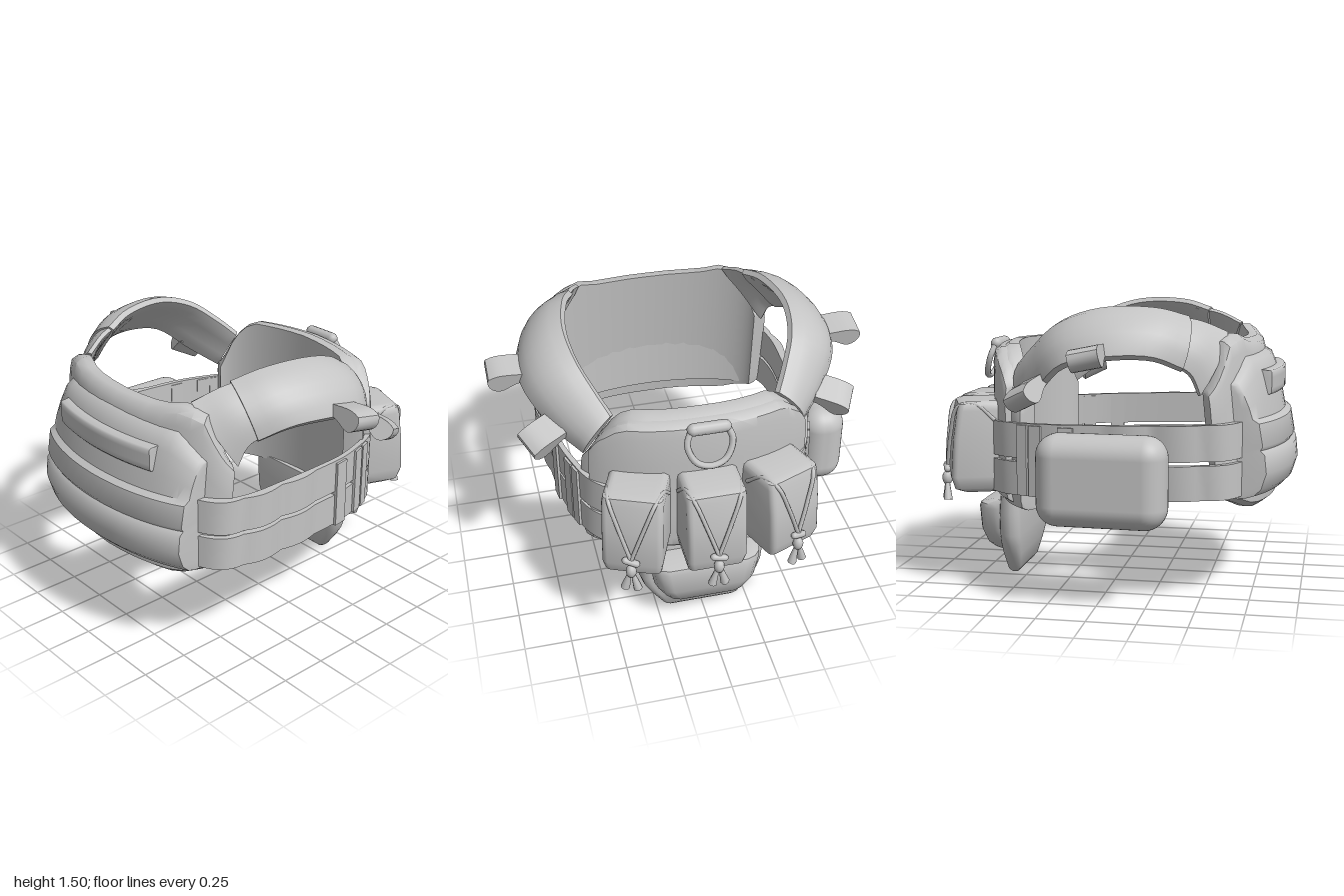
import * as THREE from 'three';
import { toCreasedNormals } from 'three/addons/utils/BufferGeometryUtils.js';
import { RoundedBoxGeometry } from 'three/addons/geometries/RoundedBoxGeometry.js';

const V = (x, y, z) => new THREE.Vector3(x, y, z);
const lerp = THREE.MathUtils.lerp;
// piecewise linear lookup in [[x, value], ...]
function ramp(table, x) {
  for (let i = 1; i < table.length; i++) {
    const [x0, a] = table[i - 1], [x1, b] = table[i];
    if (x <= x1) return lerp(a, b, Math.max(0, (x - x0) / (x1 - x0)));
  }
  return table[table.length - 1][1];
}

// closed solid through rings of points, ends capped by strips, faces turned outward
function loft(rings, crease = 0.75) {
  const n = rings[0].length, pos = rings.flat(), tris = [];
  const quad = (a, b, c, d) => tris.push([a, b, c], [a, c, d]);
  for (let r = 0; r < rings.length - 1; r++)
    for (let i = 0; i < n; i++) {
      const j = (i + 1) % n;
      quad(r * n + i, r * n + j, (r + 1) * n + j, (r + 1) * n + i);
    }
  const end = (rings.length - 1) * n;
  for (let i = 0; i < n / 2 - 1; i++) {
    quad(i, n - 1 - i, n - 2 - i, i + 1);
    quad(end + i, end + i + 1, end + n - 2 - i, end + n - 1 - i);
  }
  let vol = 0;
  for (const [a, b, c] of tris) vol += pos[a].dot(pos[b].clone().cross(pos[c]));
  const g = new THREE.BufferGeometry().setFromPoints(pos);
  g.setIndex(tris.flatMap(([a, b, c]) => (vol < 0 ? [a, c, b] : [a, b, c])));
  return toCreasedNormals(g, crease);
}

// panel bent along an ellipse; rows(x) gives [y, inner offset, outer offset] from the bottom up
function bentPanel({ rx, rz, zc, side, max, turn = 1, lean = 0, cols = 24 }, rows) {
  const rings = [];
  for (let c = 0; c <= cols; c++) {
    const u = Math.sin((c / cols - 0.5) * Math.PI), a = u * max;
    const x = rx * Math.sin(a), z = rz * Math.cos(a);
    const nrm = V(rz * Math.sin(a) * turn, 0, rx * Math.cos(a)).normalize();
    const soft = Math.abs(u) > 0.999 ? 0.25 : 0;
    const list = rows(x);
    const put = (y, o) => V(x + nrm.x * o, y, side * (zc + z + nrm.z * o + (1.33 - y) * lean));
    rings.push([...list.map(([y, i, o]) => put(y, lerp(o, i, soft))), ...list.map(([y, i]) => put(y, i)).reverse()]);
  }
  return loft(rings);
}
// panel profile between two heights, outer side rounded at both edges
const slab = (y0, y1, inner, outer) => [[0, 0.3], [0.03, 0.85], [0.1, 1], [0.3, 1], [0.5, 1], [0.7, 1], [0.9, 1], [0.97, 0.85], [1, 0.3]]
  .map(([t, k]) => [lerp(y0, y1, t), inner, inner + (outer - inner) * (0.3 + 0.7 * k)]);

// rounded rectangle ring at height y
function ring(y, w, d, zc, r, bend = 0) {
  const pts = [];
  for (const [sx, sz, a0] of [[1, 1, 0], [-1, 1, 1], [-1, -1, 2], [1, -1, 3]])
    for (let i = 0; i < 4; i++) {
      const a = (a0 + i / 3) * Math.PI / 2;
      const x = sx * (w - r) + Math.cos(a) * r;
      pts.push(V(x, y, zc + sz * (d - r) + Math.sin(a) * r + bend * x * x));
    }
  return pts;
}

// crowned band swept through pairs of neck-side and arm-side edge points
function band(stations, s, th, steps) {
  const A = new THREE.CatmullRomCurve3(stations.map(p => V(...p[0])));
  const B = new THREE.CatmullRomCurve3(stations.map(p => V(...p[1])));
  const rings = [], m = 7;
  for (let k = 0; k <= steps; k++) {
    const t = k / steps, a = A.getPoint(t), b = B.getPoint(t), d = b.clone().sub(a);
    const n = d.clone().cross(A.getTangent(t).add(B.getTangent(t))).normalize();
    const row = sg => Array.from({ length: m }, (_, i) => {
      const w = i / (m - 1), h = Math.max(0, Math.sin(Math.PI * w));
      const p = a.clone().addScaledVector(d, w).addScaledVector(n, 0.025 * h + sg * th * (0.35 + 0.65 * Math.sqrt(h)));
      return V(p.x * s, p.y, p.z);
    });
    rings.push([...row(1), ...row(-1).reverse()]);
  }
  return loft(rings);
}

export function createModel() {
  const model = new THREE.Group();
  const grey = new THREE.MeshStandardMaterial({ color: 0xc4c4c4 });
  grey.name = 'grey fabric';
  const add = (name, geo, parent = model) => {
    const m = new THREE.Mesh(geo, grey);
    m.name = name;
    parent.add(m);
    return m;
  };
  const tube = (pts, r, n = 20) => new THREE.TubeGeometry(new THREE.CatmullRomCurve3(pts.map(p => V(...p))), n, r, 8);

  // front vest panel, rising at the sides into the straps
  add('frontPanel', bentPanel({ rx: 0.64, rz: 0.27, zc: 0.45, side: 1, max: 1.38, lean: 0.1 }, x => slab(
    ramp([[0, 0.47], [0.45, 0.48], [0.63, 0.56]], Math.abs(x)),
    ramp([[0, 1.33], [0.3, 1.335], [0.43, 1.37], [0.53, 1.33], [0.63, 1.08]], Math.abs(x)), -0.04, 0.05)));

  // front plate bag with its stepped pouch rows
  const bag = { rx: 0.75, rz: 0.36, zc: 0.47, side: 1, turn: 0, max: 0.885 };
  const bagRows = [[0.553, 0.03], [0.565, 0.07], [0.6, 0.105], [0.68, 0.13], [0.775, 0.12], [0.795, 0.098], [0.815, 0.11], [0.93, 0.09],
    [0.95, 0.058], [1.05, 0.04], [1.17, 0.01], [1.24, -0.02], [1.27, -0.07]];
  add('frontPlateBag', bentPanel(bag, x => {
    const top = ramp([[0, 1.27], [0.45, 1.26], [0.58, 1.13]], Math.abs(x));
    return bagRows.map(([y, o]) => [y < 0.95 ? y : lerp(0.95, top, (y - 0.95) / 0.32), -0.1, o]);
  }));
  add('frontLabel', bentPanel({ ...bag, max: 0.53 }, () => slab(1.05, 1.18, -0.02, 0.055)));

  // back vest panel and back plate bag
  const back = { rx: 0.6, rz: 0.3, zc: 0.33, side: -1 };
  const backTop = x => ramp([[0, 1.3], [0.4, 1.29], [0.5, 1.19], [0.6, 0.95]], Math.abs(x));
  add('backPanel', bentPanel({ ...back, max: 1.3 }, x => slab(0.44, backTop(x), -0.08, 0.025)));
  add('backPlateBag', bentPanel({ ...back, max: 1.1 }, x => slab(0.48, backTop(x) - 0.015, -0.02, 0.058)));

  // drag handle
  const bar = add('handleGrip', new THREE.CapsuleGeometry(0.032, 0.16, 4, 10));
  bar.rotation.z = Math.PI / 2;
  bar.position.set(0, 1.27, -0.7);
  add('handleRing', tube([[-0.09, 1.27, -0.7], [-0.115, 1.2, -0.725], [-0.075, 1.11, -0.755], [0, 1.085, -0.765],
    [0.075, 1.11, -0.755], [0.115, 1.2, -0.725], [0.09, 1.27, -0.7]], 0.017, 28));

  // shoulder straps: neck edge and arm edge
  const yoke = [[[0.42, 1.37, 0.61], [0.635, 1.07, 0.5]], [[0.475, 1.425, 0.48], [0.665, 1.18, 0.45]],
    [[0.52, 1.45, 0.34], [0.73, 1.24, 0.34]]];
  const pad = [[[0.485, 1.445, 0.42], [0.69, 1.2, 0.42]], [[0.54, 1.485, 0.27], [0.775, 1.26, 0.28]],
    [[0.585, 1.485, 0], [0.835, 1.26, 0.04]], [[0.56, 1.42, -0.2], [0.815, 1.22, -0.15]],
    [[0.49, 1.31, -0.34], [0.7, 1.09, -0.3]], [[0.43, 1.22, -0.43], [0.575, 1.0, -0.41]]];

  // side belts, wrapping onto the back panel
  const path = new THREE.CatmullRomCurve3([[0.55, 0.71], [0.665, 0.6], [0.7, 0.47], [0.7, 0.25], [0.69, 0], [0.67, -0.2],
    [0.625, -0.36], [0.6, -0.43], [0.563, -0.505], [0.51, -0.565], [0.44, -0.625]].map(([x, z]) => V(x, 0, z)));
  const beltAt = (t, o) => {
    const p = path.getPointAt(t), d = path.getTangentAt(t);
    return V(p.x - d.z * o, 0, p.z + d.x * o);
  };
  const belt = (s, y0, h) => {
    const rings = [];
    for (let k = 0; k <= 48; k++) {
      const t = k / 48, wave = t < 0.5 ? 0.018 * Math.abs(Math.sin(t * 6 * Math.PI)) : 0;
      const y = y0 - 0.04 * t;
      rings.push([[y, 0.014 + wave], [y + h, 0.014 + wave], [y + h, -0.014], [y, -0.014]].map(([yy, o]) => {
        const p = beltAt(t, o);
        return V(p.x * s, yy, p.z);
      }));
    }
    return loft(rings);
  };

  // folded webbing tab outline
  const tabShape = new THREE.Shape();
  tabShape.moveTo(-0.03, -0.022);
  tabShape.bezierCurveTo(0.06, -0.02, 0.07, -0.06, 0.12, -0.06);
  tabShape.bezierCurveTo(0.16, -0.055, 0.19, 0, 0.165, 0.035);
  tabShape.bezierCurveTo(0.11, 0.06, 0.07, 0.045, -0.03, 0.03);
  const tabGeo = toCreasedNormals(new THREE.ExtrudeGeometry(tabShape, { depth: 0.15, bevelEnabled: false, curveSegments: 6 })
    .translate(0, 0, -0.075), 0.6);

  for (const s of [1, -1]) {
    const side = s > 0 ? 'left' : 'right';
    add(side + 'Strap', band(yoke, s, 0.032, 12));
    add(side + 'ShoulderPad', band(pad, s, 0.045, 22));
    add(side + 'UpperBelt', belt(s, 0.76, 0.18));
    add(side + 'LowerBelt', belt(s, 0.565, 0.175));
    // vertical keepers over both belts
    for (const [t, w] of [[0.635, 0.08], [0.752, 0.07], [0.804, 0.06]]) {
      const p = beltAt(t, 0.004), d = path.getTangentAt(t);
      const k = add(side + 'BeltKeeper', new THREE.BoxGeometry(0.045, 0.365, w));
      k.position.set(p.x * s, 0.718, p.z);
      k.rotation.y = s * Math.atan2(-d.x, -d.z);
    }
    for (const [x, y, z, rx, ry, rz] of [[0.83, 1.285, -0.01, -0.2, 0, -0.08], [0.71, 1.115, -0.32, -0.4, 0.5, -0.45]]) {
      const tab = add(side + 'ShoulderTab', tabGeo);
      tab.rotation.order = 'YXZ';
      tab.position.set(x * s, y, z);
      tab.rotation.set(rx * s, s > 0 ? ry : Math.PI - ry, rz);
    }
  }

  // three back pouches with cord closures
  const pouchGeo = loft([[0.515, 0.12, 0.12], [0.535, 0.145, 0.145], [0.6, 0.155, 0.155], [0.8, 0.155, 0.148], [0.95, 0.155, 0.137],
    [0.985, 0.15, 0.132], [1.0, 0.13, 0.115]].map(([y, w, d]) => ring(y, w, d, d - 0.01, 0.03)), 0.8);
  for (const i of [-1, 0, 1]) {
    const p = new THREE.Group();
    p.name = 'backPouch';
    p.position.set(0.32 * i, 0, i ? -0.585 : -0.63);
    p.rotation.y = Math.PI - i * 0.384;
    model.add(p);
    add('pouchBody', pouchGeo, p);
    for (const s of [1, -1]) {
      add('pouchCord', tube([[s * 0.155, 0.9, 0.07], [s * 0.14, 0.985, 0.17], [s * 0.115, 0.97, 0.26], [s * 0.06, 0.82, 0.296], [0, 0.64, 0.312]], 0.011), p);
      const tail = add('cordTail', new THREE.CylinderGeometry(0.012, 0.024, 0.09, 8), p);
      tail.position.set(s * 0.022, 0.505, 0.315);
      tail.rotation.z = s * 0.25;
    }
    const toggle = add('cordToggle', new THREE.CapsuleGeometry(0.018, 0.06, 3, 8), p);
    toggle.rotation.z = 1.3;
    toggle.position.set(0, 0.635, 0.315);
    const knot = add('cordKnot', new THREE.SphereGeometry(0.028, 10, 8), p);
    knot.scale.y = 1.4;
    knot.position.set(0, 0.575, 0.315);
  }

  // hanging pad and its pouch below the back panel
  add('hangingPad', loft([[0.005, 0.19, 0.02], [0.025, 0.215, 0.035], [0.12, 0.285, 0.05], [0.18, 0.32, 0.057], [0.24, 0.34, 0.06], [0.36, 0.35, 0.06], [0.46, 0.355, 0.05]]
    .map(([y, w, d]) => ring(y, w, d, -0.59, d * 0.9, 0.2))));
  add('hangingPouch', loft([[0.115, 0.14, 0.67], [0.135, 0.18, 0.715], [0.17, 0.225, 0.75], [0.25, 0.275, 0.778], [0.38, 0.3, 0.785], [0.405, 0.3, 0.775], [0.43, 0.29, 0.69]]
    .map(([y, w, out]) => ring(y, w, (out - 0.58) / 2, -(out + 0.58) / 2, (out - 0.58) * 0.45, 0.3))));

  // soft pouch on the right side
  const sidePouch = add('sidePouch', new RoundedBoxGeometry(0.245, 0.465, 0.66, 5, 0.11));
  sidePouch.position.set(-0.795, 0.657, 0.04);
  sidePouch.rotation.y = -0.04;
  return model;
}
